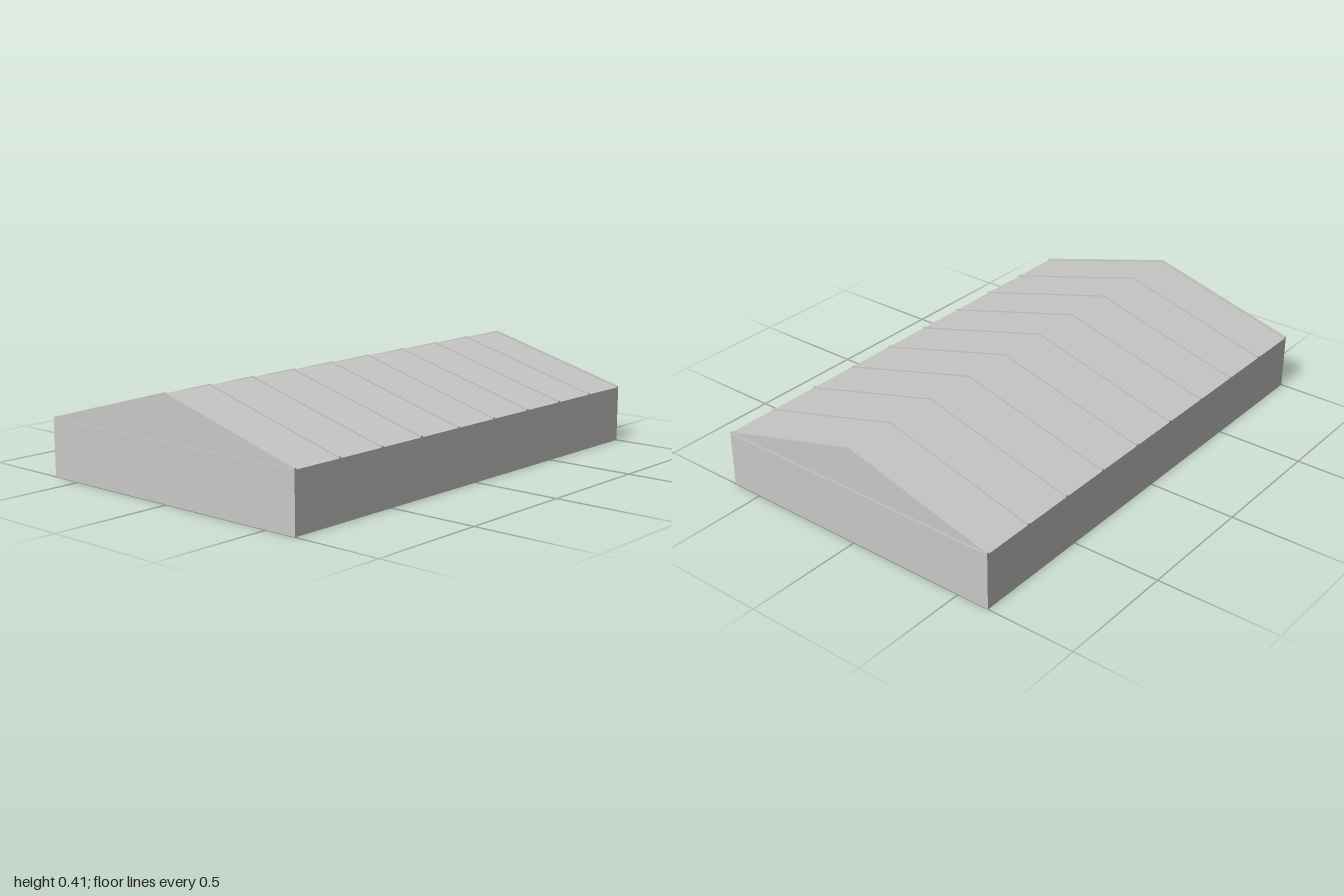
import * as THREE from 'three';

const HALF_W = 0.635, EAVE = 0.23, RIDGE = 0.405, RIB_H = 0.006, RIB_T = 0.01, RIBS = 10;

// Outline in x/y, extruded along z and centred on z
function extrude(points, depth) {
  const shape = new THREE.Shape(points.map(([x, y]) => new THREE.Vector2(x, y)));
  const geometry = new THREE.ExtrudeGeometry(shape, { depth, bevelEnabled: false });
  return geometry.translate(0, 0, -depth / 2);
}

export function createModel() {
  const group = new THREE.Group();
  const paint = new THREE.MeshStandardMaterial({ color: 0xc8c8c6 });
  paint.name = 'light grey cladding';

  const add = (name, geometry, z = 0) => {
    const mesh = new THREE.Mesh(geometry, paint);
    mesh.name = name;
    mesh.position.z = z;
    group.add(mesh);
  };

  // Long low hall walls
  add('walls', new THREE.BoxGeometry(HALF_W * 2, EAVE, 2).translate(0, EAVE / 2, 0));

  // Pitched roof, its gables set back slightly from the end walls
  add('roof', extrude([[-HALF_W, EAVE], [HALF_W, EAVE], [0, RIDGE]], 1.99));

  // Raised chevron ribs across the roof, the outer two flush with the ends
  const rib = extrude([
    [-HALF_W, EAVE], [0, RIDGE], [HALF_W, EAVE],
    [HALF_W, EAVE + RIB_H], [0, RIDGE + RIB_H], [-HALF_W, EAVE + RIB_H],
  ], RIB_T);
  const reach = 1 - RIB_T / 2;
  for (let i = 0; i < RIBS; i++) {
    add('roofRib', rib, -reach + (2 * reach * i) / (RIBS - 1));
  }
  return group;
}
